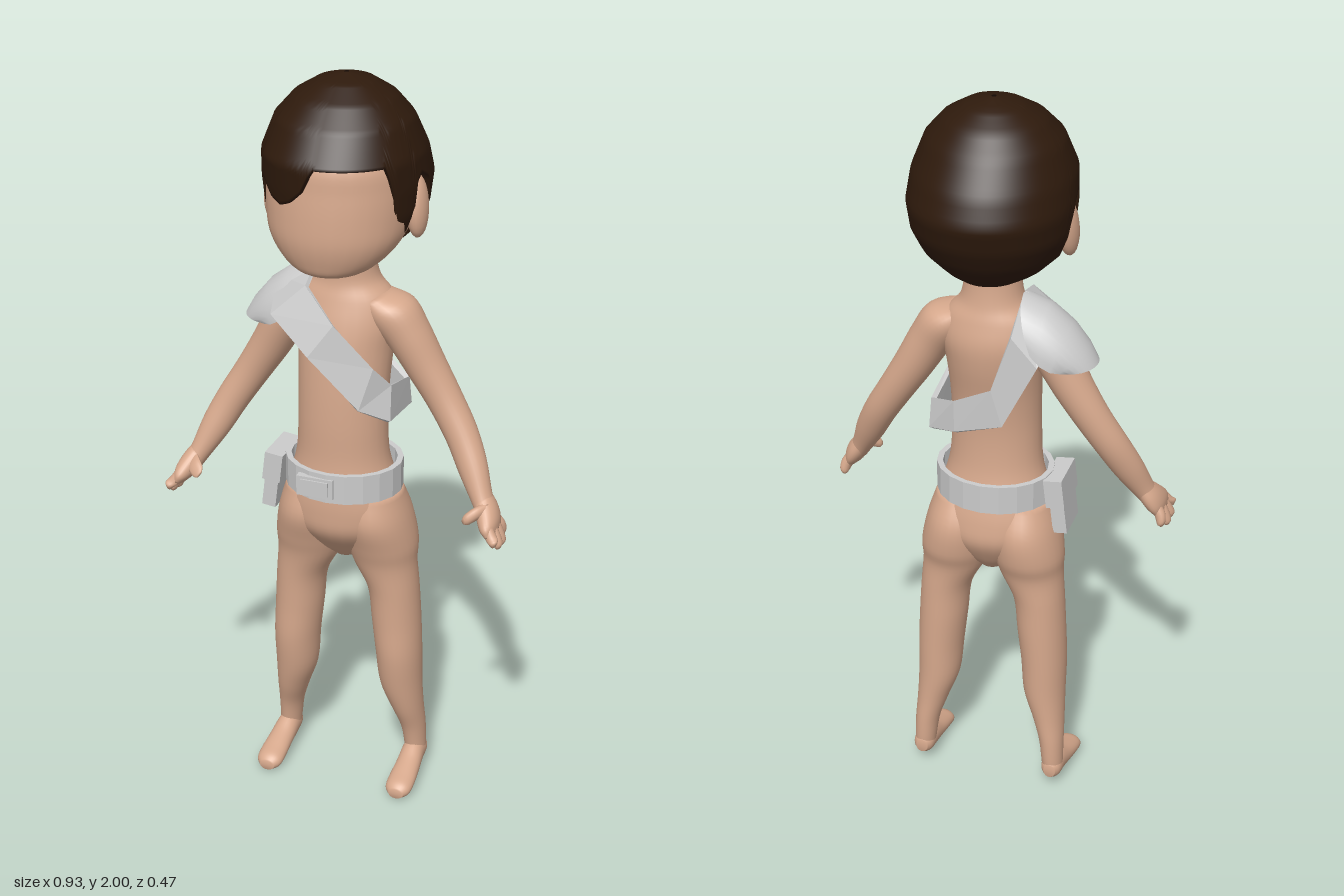
import * as THREE from 'three';

const SKIN = new THREE.MeshStandardMaterial({ color: 0xd6a88c });
const HAIR = new THREE.MeshStandardMaterial({ color: 0x2e1a0c, side: THREE.DoubleSide });
const GREY = new THREE.MeshStandardMaterial({ color: 0xcccccc, side: THREE.DoubleSide });
const GREY_FLAT = new THREE.MeshStandardMaterial({ color: 0xcccccc, side: THREE.DoubleSide, flatShading: true });

const V = (x, y, z) => new THREE.Vector3(x, y, z);

// grid of points (rows x cols) joined into quads
function grid(rows, wrap, flip = false) {
  const n = rows[0].length, pos = [], idx = [];
  rows.forEach(r => r.forEach(p => pos.push(p.x, p.y, p.z)));
  for (let i = 0; i < rows.length - 1; i++) {
    for (let j = 0; j < (wrap ? n : n - 1); j++) {
      const k = (j + 1) % n, a = i * n + j, b = i * n + k, c = a + n, d = b + n;
      if (flip) idx.push(a, c, b, b, c, d);
      else idx.push(a, b, c, b, d, c);
    }
  }
  const g = new THREE.BufferGeometry();
  g.setAttribute('position', new THREE.Float32BufferAttribute(pos, 3));
  g.setIndex(idx);
  g.computeVertexNormals();
  return g;
}

function add(parent, name, geometry, material) {
  const m = new THREE.Mesh(geometry, material);
  m.name = name;
  parent.add(m);
  return m;
}

// smooth closed loft through elliptical sections [x, y, z, ru, rv]
const spline = pts => new THREE.CatmullRomCurve3(pts, false, 'catmullrom', 0.5);
function loft(sections, u = V(1, 0, 0), v = V(0, 0, 1), steps = 5, sides = 28) {
  const path = spline(sections.map(s => V(s[0], s[1], s[2])));
  const radii = spline(sections.map(s => V(s[3], s[4], 0)));
  const n = (sections.length - 1) * steps, rows = [];
  const ring = (t, k) => {
    const c = path.getPoint(t), r = radii.getPoint(t);
    return Array.from({ length: sides }, (_, j) => {
      const a = j / sides * Math.PI * 2;
      return c.clone().addScaledVector(u, Math.cos(a) * r.x * k).addScaledVector(v, Math.sin(a) * r.y * k);
    });
  };
  rows.push(ring(0, 0));
  for (let i = 0; i <= n; i++) rows.push(ring(i / n, 1));
  rows.push(ring(1, 0));
  const dir = path.getPoint(1).sub(path.getPoint(0));
  return grid(rows, true, u.clone().cross(v).dot(dir) < 0);
}

function ellipsoid(parent, name, p, r) {
  const m = add(parent, name, new THREE.SphereGeometry(1, 20, 14), SKIN);
  m.position.set(...p);
  m.scale.set(...r);
  return m;
}

function buildLimbs(body, s) {
  const side = s > 0 ? 'left' : 'right';
  const mir = rows => rows.map(([x, ...rest]) => [x * s, ...rest]);
  // leg
  add(body, side + 'Leg', loft(mir([
    [.085, .9, .02, .07, .09], [.09, .82, .01, .09, .115], [.1, .74, 0, .095, .103], [.108, .68, 0, .086, .085],
    [.131, .6, -.003, .069, .077], [.14, .5, -.005, .066, .075], [.148, .4, -.005, .062, .074], [.153, .3, -.012, .057, .066],
    [.168, .22, -.022, .044, .055], [.181, .15, -.036, .034, .043], [.186, .09, -.042, .03, .037], [.188, .05, -.042, .028, .034]])), SKIN);
  // foot, heel to toe
  add(body, side + 'Foot', loft(mir([
    [.188, .062, -.08, .016, .02], [.188, .062, -.06, .028, .032], [.188, .06, -.02, .031, .038], [.19, .046, .03, .034, .03],
    [.191, .034, .08, .037, .025], [.191, .025, .115, .035, .023], [.191, .02, .135, .02, .014]]), V(1, 0, 0), V(0, 1, 0)), SKIN);
  // arm
  const across = V(.86 * s, .5, 0);
  add(body, side + 'Arm', loft(mir([
    [.075, 1.43, 0, .035, .06], [.12, 1.395, 0, .062, .073], [.165, 1.335, 0, .058, .064], [.215, 1.25, -.003, .052, .054],
    [.265, 1.17, 0, .047, .047], [.315, 1.09, .014, .044, .044], [.355, 1.015, .038, .04, .04], [.39, .945, .065, .029, .034],
    [.408, .915, .078, .027, .036]]), across, V(0, 0, 1)), SKIN);
  // hand
  const hand = new THREE.Group();
  hand.name = side + 'Hand';
  body.add(hand);
  add(hand, 'palm', loft(mir([
    [.39, .95, .065, .024, .03], [.408, .92, .08, .028, .046], [.422, .895, .094, .026, .055], [.432, .875, .1, .018, .05]]),
    across, V(0, 0, 1)), SKIN);
  const tips = [[.449, .866, .147], [.453, .848, .118], [.452, .843, .086], [.444, .855, .055]];
  tips.forEach(([x, y, z], i) => add(hand, 'finger', loft(mir([
    [.423, .9, .128 - i * .021, .014, .014], [.438, .876, (z + .128 - i * .021) / 2, .015, .0145],
    [x, y, z, .013, .013], [x + .002, y - .011, z + .001, .006, .007]]), across, V(0, 0, 1), 4, 12), SKIN));
  add(hand, 'thumb', loft(mir([
    [.412, .93, .09, .016, .016], [.39, .922, .118, .017, .016], [.372, .91, .133, .014, .014], [.365, .905, .139, .007, .007]]),
    V(.5, .5, .5 * s).normalize(), V(-.4 * s, .85, -.1).normalize(), 4, 12), SKIN);
  // ear
  const ear = ellipsoid(body, side + 'Ear', [.186 * s, 1.685, .012], [.028, .08, .04]);
  ear.rotation.set(-.12, 0, .08 * s);
}

// hair shell: sections [y, zFront, zBack, halfWidth] cut off at a hairline per angle
const HAIR_ROWS = [[2, .012, -.002, .006], [1.985, .075, -.06, .07], [1.95, .135, -.115, .128], [1.9, .187, -.16, .172],
  [1.82, .233, -.21, .203], [1.75, .226, -.235, .21], [1.68, .212, -.215, .203], [1.62, .195, -.18, .18],
  [1.57, .15, -.135, .13], [1.54, .08, -.095, .07], [1.532, .02, -.04, .02]];
const SIDE_LINE = [[50, 1.82], [53, 1.77], [57, 1.63], [61, 1.605], [70, 1.61], [73, 1.64], [75, 1.76], [82, 1.78],
  [90, 1.76], [97, 1.7], [100, 1.62], [104, 1.56], [112, 1.532], [180, 1.532]];
const FRINGE_LINE = [[0, 1.82], [4, 1.8], [10, 1.755], [19, 1.725], [28, 1.712], [38, 1.725], [46, 1.755], [53, 1.765]];
function lookup(table, x) {
  let i = 1;
  while (i < table.length - 1 && table[i][0] < x) i++;
  const a = table[i - 1], b = table[i];
  const t = THREE.MathUtils.clamp((x - a[0]) / (b[0] - a[0]), 0, 1);
  return a.map((q, k) => q + (b[k] - q) * t);
}
function hairGeometry() {
  const cols = 180, steps = 36, rows = [];
  const curve = HAIR_ROWS.map(r => [-r[0], ...r.slice(1)]);
  for (let i = 0; i <= steps + 1; i++) {
    const row = [];
    for (let j = 0; j < cols; j++) {
      let deg = j / cols * 360;
      const right = deg > 180;
      if (right) deg = 360 - deg;
      const end = right && deg < 53 ? lookup(FRINGE_LINE, deg)[1] : lookup(SIDE_LINE, deg)[1];
      const t = Math.min(i / steps, 1);
      const y = 2 - (2 - end) * Math.pow(t, 1.35);
      const [, zf, zb, w] = lookup(curve, -y);
      const a = deg * Math.PI / 180, k = i > steps ? .9 : 1;
      const lift = right && deg < 60 ? 1 + .02 * Math.sin(deg / 60 * Math.PI) : 1;
      const mid = (zf + zb) / 2 * Math.sin(a) ** 2;
      row.push(V((right ? -1 : 1) * Math.sin(a) * w * k * lift, y, mid + Math.cos(a) * (deg < 90 ? zf : -zb) * k * lift));
    }
    rows.push(row);
  }
  return grid(rows, true, true);
}

// sash: upper and lower edge of each fold, front shoulder round to the back
const SASH = [
  [V(-.085, 1.5, 0), V(-.19, 1.445, 0)], [V(-.075, 1.47, .1), V(-.16, 1.39, .125)],
  [V(.01, 1.385, .13), V(-.05, 1.3, .155)], [V(.11, 1.275, .11), V(.08, 1.165, .135)],
  [V(.145, 1.22, .07), V(.148, 1.125, .085)], [V(.148, 1.19, -.06), V(.15, 1.11, -.075)],
  [V(.07, 1.22, -.112), V(.07, 1.13, -.112)], [V(-.03, 1.27, -.12), V(-.06, 1.17, -.12)],
  [V(-.08, 1.42, -.11), V(-.15, 1.35, -.118)]];
function sashGeometry() {
  const inner = p => V(p.x * .92, p.y - .006, p.z * .92);
  const rows = SASH.map(([a, b]) => [a, b, inner(b), inner(a)]);
  return grid([...rows, rows[0]], true);
}

// shoulder pad: arches [topX, topY, edgeX, edgeY, halfDepth]
function padGeometry() {
  const arches = [[-.085, 1.5, -.13, 1.38, .1], [-.15, 1.48, -.155, 1.355, .1], [-.21, 1.435, -.18, 1.34, .095],
    [-.255, 1.38, -.2, 1.335, .085], [-.28, 1.335, -.22, 1.33, .07]];
  return grid(arches.map(([tx, ty, ex, ey, d]) => Array.from({ length: 17 }, (_, j) => {
    const a = (j / 16 - .5) * Math.PI, c = Math.cos(a);
    return V(ex + (tx - ex) * c, ey + (ty - ey) * c, -.015 + d * Math.sin(a));
  })), false, true);
}

export function createModel() {
  const model = new THREE.Group();
  model.name = 'figure';
  const body = new THREE.Group();
  body.name = 'body';
  model.add(body);

  // torso from crotch to neck
  add(body, 'torso', loft([
    [0, .685, 0, .035, .04], [0, .73, .005, .1, .08], [0, .79, .012, .15, .118], [0, .85, .018, .163, .121], [0, .92, .025, .145, .112],
    [0, 1, .03, .124, .1], [0, 1.1, .032, .119, .098], [0, 1.2, .025, .12, .101], [0, 1.3, .01, .126, .107],
    [0, 1.37, 0, .135, .103], [0, 1.43, -.003, .122, .088], [0, 1.475, -.003, .085, .075], [0, 1.53, 0, .073, .071], [0, 1.6, 0, .072, .07]]), SKIN);
  // head
  add(body, 'head', loft([
    [0, 1.526, .12, .03, .035], [0, 1.538, .117, .085, .077], [0, 1.57, .1, .132, .11], [0, 1.62, .07, .17, .151],
    [0, 1.68, .045, .186, .176], [0, 1.75, .035, .19, .18], [0, 1.82, .025, .186, .18], [0, 1.89, .01, .15, .145], [0, 1.95, 0, .08, .08]]), SKIN);
  for (const s of [1, -1]) buildLimbs(body, s);

  add(model, 'hair', hairGeometry(), HAIR);
  add(model, 'sash', sashGeometry(), GREY_FLAT);
  add(model, 'shoulderPad', padGeometry(), GREY);

  // belt
  const profile = [[.9, .9], [1, .9], [1, .98], [.9, .98], [.9, .9]].map(p => new THREE.Vector2(...p));
  const belt = add(model, 'belt', new THREE.LatheGeometry(profile, 20), GREY_FLAT);
  belt.scale.set(.157, 1, .136);
  belt.position.z = .022;

  // box fittings on the belt: name, size, position, tilt
  const box = (name, size, pos, tilt = 0) => {
    const m = add(model, name, new THREE.BoxGeometry(...size), GREY_FLAT);
    m.position.set(...pos);
    m.rotation.z = tilt;
  };
  box('buckle', [.1, .055, .02], [-.03, .94, .152]);
  box('bucklePlate', [.075, .04, .02], [-.03, .94, .156]);
  box('pouchTop', [.05, .08, .13], [-.175, .94, .03], -.12);
  box('pouchBottom', [.038, .09, .11], [-.186, .865, .03], -.12);
  return model;
}
